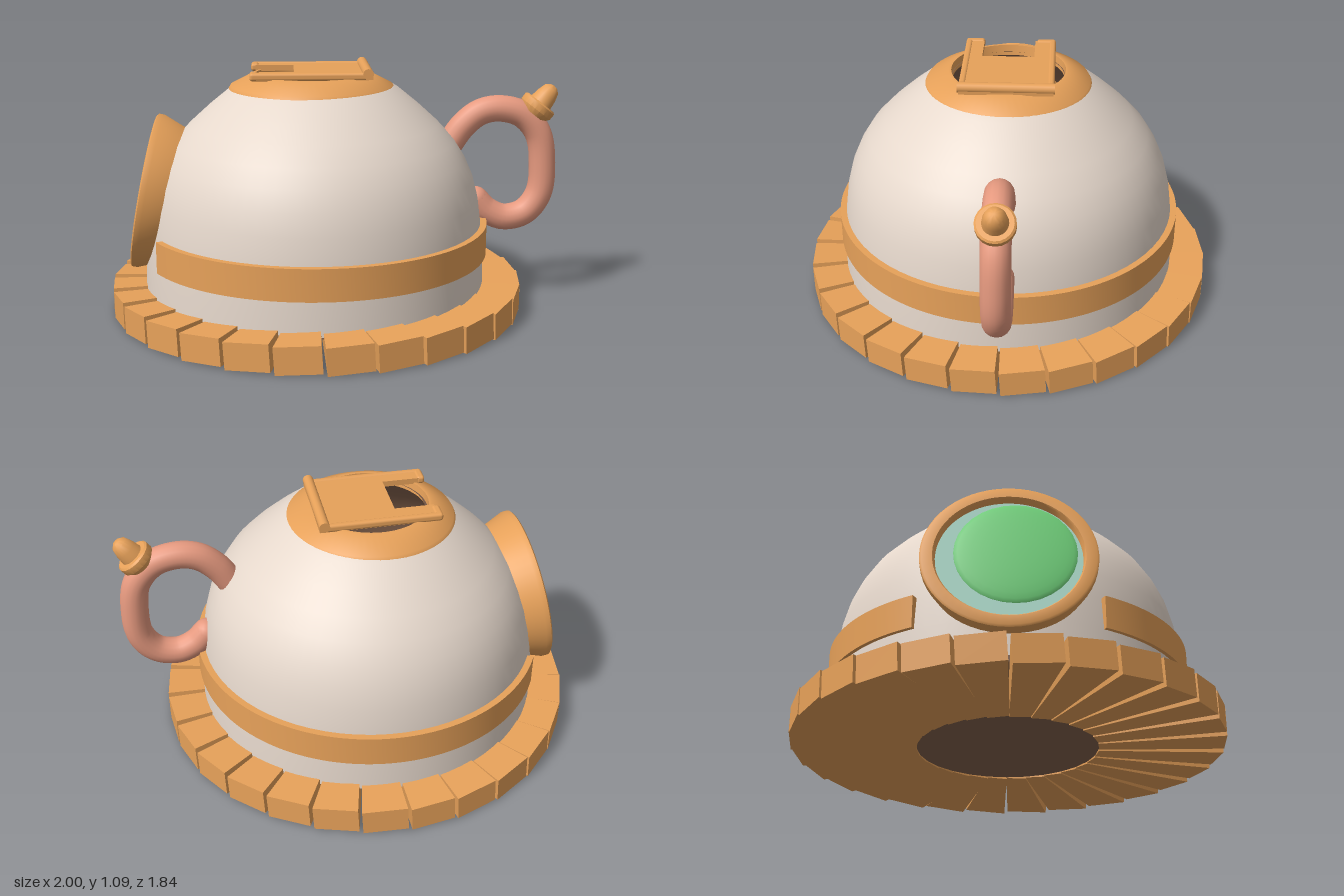
import * as THREE from 'three';
import { toCreasedNormals } from 'three/addons/utils/BufferGeometryUtils.js';
import { RoundedBoxGeometry } from 'three/addons/geometries/RoundedBoxGeometry.js';

const CX = -0.09; // centre of the dome

function makeMaterial(name, color, side = THREE.FrontSide) {
  const m = new THREE.MeshStandardMaterial({ color, side });
  m.name = name;
  return m;
}

const pts = (list) => list.map(([x, y]) => new THREE.Vector2(x, y));

function lathe(profile, segments = 64, crease = 0.6) {
  return toCreasedNormals(new THREE.LatheGeometry(pts(profile), segments), crease);
}

// Extrudes a plan outline upwards
function slab(shape, height, curveSegments = 12) {
  const g = new THREE.ExtrudeGeometry(shape, { depth: height, bevelEnabled: false, curveSegments });
  g.rotateX(-Math.PI / 2);
  return toCreasedNormals(g, 0.5);
}

export function createModel() {
  const wood = makeMaterial('wood', 0xe8a25a);
  const plaster = makeMaterial('plaster', 0xe6d8cc);
  const clay = makeMaterial('clay', 0xee9f84);
  const interior = makeMaterial('interior brown', 0x85634e, THREE.DoubleSide);
  const glass = makeMaterial('glass', 0xa6d4c4);
  const green = makeMaterial('green', 0x70d07a);

  const model = new THREE.Group();
  const add = (name, geometry, material, parent = model, x = 0, y = 0, z = 0) => {
    const mesh = new THREE.Mesh(geometry, material);
    mesh.name = name;
    mesh.position.set(x, y, z);
    parent.add(mesh);
    return mesh;
  };

  // Ring of wedge-shaped planks, each rolled a little
  const base = new THREE.Group();
  base.name = 'plankBase';
  base.position.x = -0.081;
  model.add(base);
  const rIn = 0.385, rOut = 0.914, count = 28;
  const plank = new THREE.BoxGeometry(rOut - rIn, 0.116, 0.19);
  plank.translate((rIn + rOut) / 2, 0, 0);
  const p = plank.attributes.position;
  for (let i = 0; i < p.count; i++) p.setZ(i, p.getZ(i) * (0.08 + 0.92 * p.getX(i) / rOut));
  plank.computeVertexNormals();
  for (let i = 0; i < count; i++) {
    const m = add('plank', plank, wood, base, 0, 0.065, 0);
    m.rotation.order = 'YXZ';
    m.rotation.set(0.06, ((i + 0.5) / count) * Math.PI * 2 + Math.PI / 2, 0);
  }
  add('basePlug', new THREE.CylinderGeometry(0.395, 0.395, 0.085, 40), interior, base, 0, 0.056, 0);

  // Dome shell, lining and floor
  const wall = [[0.762, 0.1], [0.757, 0.25], [0.745, 0.39], [0.73, 0.5], [0.705, 0.595], [0.67, 0.675],
    [0.62, 0.755], [0.55, 0.83], [0.465, 0.907], [0.375, 0.98], [0.345, 0.998]];
  add('dome', lathe(wall, 72, 0.9), plaster, model, CX);
  add('domeLining', lathe([...wall.map(([r, y]) => [r - 0.025, y - 0.015]), [0.245, 1.02]], 48, 0.9), interior, model, CX);
  const floor = add('floor', new THREE.CircleGeometry(0.74, 48), interior, model, CX, 0.1, 0);
  floor.rotation.x = -Math.PI / 2;

  // Wooden collar around the roof opening
  add('roofCollar', lathe([[0.366, 0.984], [0.358, 0.998], [0.262, 1.047], [0.25, 1.047], [0.245, 1.0]]), wood, model, -0.1);

  // Band around the wall, open at the porthole
  const gap = Math.PI - 0.5;
  const bandShape = new THREE.Shape();
  bandShape.absarc(0, 0, 0.773, -gap, gap, false);
  bandShape.absarc(0, 0, 0.735, gap, -gap, true);
  add('wallBand', slab(bandShape, 0.137, 72), wood, model, CX, 0.252, 0);

  // Notched roof hatch with side rails and a hinge rod
  const hatch = new THREE.Group();
  hatch.name = 'roofHatch';
  model.add(hatch);
  const plate = new THREE.Shape(pts([[-0.35, -0.2], [0.155, -0.2], [0.155, 0.2], [-0.35, 0.2],
    [-0.35, 0.11], [-0.18, 0.11], [-0.18, -0.12], [-0.35, -0.12]]));
  add('hatchPlate', slab(plate, 0.026), wood, hatch, 0, 1.042, 0);
  for (const s of [-1, 1]) {
    add('hatchRail', new RoundedBoxGeometry(0.5, 0.034, 0.03, 2, 0.012), wood, hatch, -0.117, 1.056, s * 0.188);
    add('hatchLip', new RoundedBoxGeometry(0.035, 0.034, 0.085, 2, 0.012), wood, hatch, -0.352, 1.056, s * 0.16);
  }
  const rod = add('hingeRod', new THREE.CylinderGeometry(0.023, 0.023, 0.41, 16), wood, hatch, 0.135, 1.067, 0);
  rod.rotation.x = Math.PI / 2;

  // Porthole tilted back against the wall
  const porthole = new THREE.Group();
  porthole.name = 'porthole';
  porthole.position.set(-0.85, 0.527, 0);
  porthole.rotation.z = 1.382;
  model.add(porthole);
  add('portholeFrame', lathe([[0.27, -0.15], [0.3, -0.15], [0.312, -0.115], [0.346, -0.03], [0.346, -0.006],
    [0.338, 0], [0.296, 0], [0.29, -0.006], [0.27, -0.15]], 56, 0.7), wood, porthole);
  add('portholeGlass', new THREE.CylinderGeometry(0.287, 0.287, 0.008, 48), glass, porthole, 0, -0.034, 0);
  const lens = add('greenLens', new THREE.SphereGeometry(1, 32, 16), green, porthole, 0.03, -0.034, 0.025);
  lens.scale.set(0.25, 0.03, 0.245);

  // Curved handle
  const path = new THREE.CatmullRomCurve3([[0.515, 0.72], [0.575, 0.805], [0.65, 0.865], [0.735, 0.882], [0.84, 0.855],
    [0.915, 0.77], [0.94, 0.63], [0.928, 0.49], [0.865, 0.405], [0.77, 0.382], [0.69, 0.415], [0.64, 0.465]]
    .map(([x, y]) => new THREE.Vector3(x, y, 0)));
  add('handle', new THREE.TubeGeometry(path, 64, 0.06, 16, false), clay);
  for (const t of [0, 1]) {
    const e = path.getPoint(t);
    add('handleEnd', new THREE.SphereGeometry(0.06, 16, 12), clay, model, e.x, e.y, 0);
  }

  // Tilted finial on the handle
  const finial = add('handleFinial', lathe([[0, -0.04], [0.06, -0.04], [0.08, -0.015], [0.08, 0.015], [0.072, 0.022],
    [0.052, 0.022], [0.047, 0.06], [0.036, 0.098], [0.018, 0.113], [0, 0.116]], 20, 0.7), wood, model, 0.91, 0.89, 0);
  finial.rotation.z = -0.66;

  return model;
}
